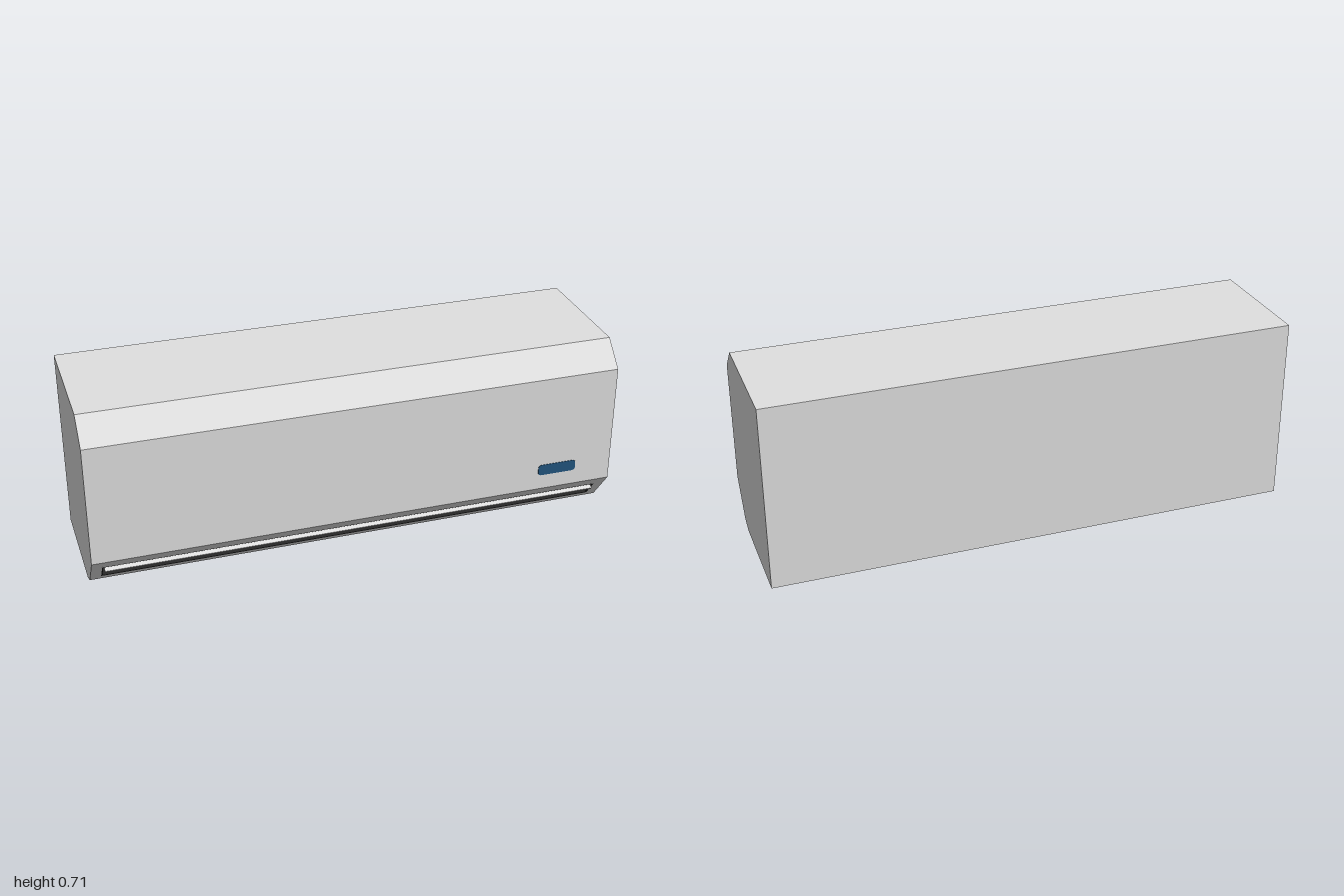
import * as THREE from 'three';

const casing = new THREE.MeshStandardMaterial({ color: 0xe0e0e0 });
casing.name = 'casing';
const dark = new THREE.MeshStandardMaterial({ color: 0x262626 });
dark.name = 'outletDark';
const blue = new THREE.MeshStandardMaterial({ color: 0x22557f });
blue.name = 'displayBlue';

// Extrude a (z, y) profile along x, centred on the given x
function extrudeX(name, points, width, material, x = 0) {
  const shape = new THREE.Shape(points.map(([z, y]) => new THREE.Vector2(z, y)));
  const geo = new THREE.ExtrudeGeometry(shape, { depth: width, bevelEnabled: false });
  geo.translate(0, 0, -width / 2);
  geo.rotateY(-Math.PI / 2);
  const mesh = new THREE.Mesh(geo, material);
  mesh.name = name;
  mesh.position.x = x;
  return mesh;
}

export function createModel() {
  const group = new THREE.Group();
  group.name = 'airConditioner';

  // Casing: chamfered profile, with a slot cut in the sloped lower face
  const lower = [[-0.281, 0], [0.13, 0], [0.183, 0.025]];
  const upper = [[0.281, 0.155], [0.281, 0.622], [0.192, 0.712], [-0.281, 0.712]];
  const slot = [[0.198, 0.045], [0.134, 0.093], [0.187, 0.163], [0.251, 0.115]];
  const slotWidth = 1.92, endWidth = (2 - slotWidth) / 2;
  group.add(extrudeX('casingMiddle', [...lower, ...slot, ...upper], slotWidth, casing));
  for (const side of [-1, 1]) {
    const x = side * (1 - endWidth / 2);
    group.add(extrudeX('casingEnd', [...lower, ...upper], endWidth, casing, x));
    // dark side walls of the outlet
    const wall = [...slot].reverse();
    group.add(extrudeX('outletSideWall', wall, 0.004, dark, side * (slotWidth / 2 - 0.002)));
  }

  // Dark lining of the outlet, a thin U-shaped channel
  const lining = [...slot, [0.2479, 0.1126], [0.1866, 0.1586], [0.1384, 0.0946], [0.2004, 0.0482]];
  group.add(extrudeX('outletLining', lining, slotWidth, dark));

  // Fan roller inside the outlet
  const roller = new THREE.Mesh(new THREE.CylinderGeometry(0.026, 0.026, 1.9, 16), dark);
  roller.name = 'fanRoller';
  roller.rotation.z = Math.PI / 2;
  roller.position.set(0, 0.108, 0.172);
  group.add(roller);

  // Tilted air vane
  const vane = new THREE.Mesh(new THREE.BoxGeometry(1.905, 0.008, 0.05), casing);
  vane.name = 'airVane';
  vane.rotation.x = 0.53;
  vane.position.set(0.002, 0.104, 0.224);
  group.add(vane);

  // Display with rounded corners on the front panel
  const w = 0.076, h = 0.022, r = 0.014;
  const s = new THREE.Shape();
  s.moveTo(-w + r, -h);
  s.lineTo(w - r, -h);
  s.quadraticCurveTo(w, -h, w, -h + r);
  s.lineTo(w, h - r);
  s.quadraticCurveTo(w, h, w - r, h);
  s.lineTo(-w + r, h);
  s.quadraticCurveTo(-w, h, -w, h - r);
  s.lineTo(-w, -h + r);
  s.quadraticCurveTo(-w, -h, -w + r, -h);
  const display = new THREE.Mesh(
    new THREE.ExtrudeGeometry(s, { depth: 0.003, bevelEnabled: false, curveSegments: 5 }), blue);
  display.name = 'display';
  display.position.set(0.78, 0.237, 0.28);
  group.add(display);

  return group;
}
